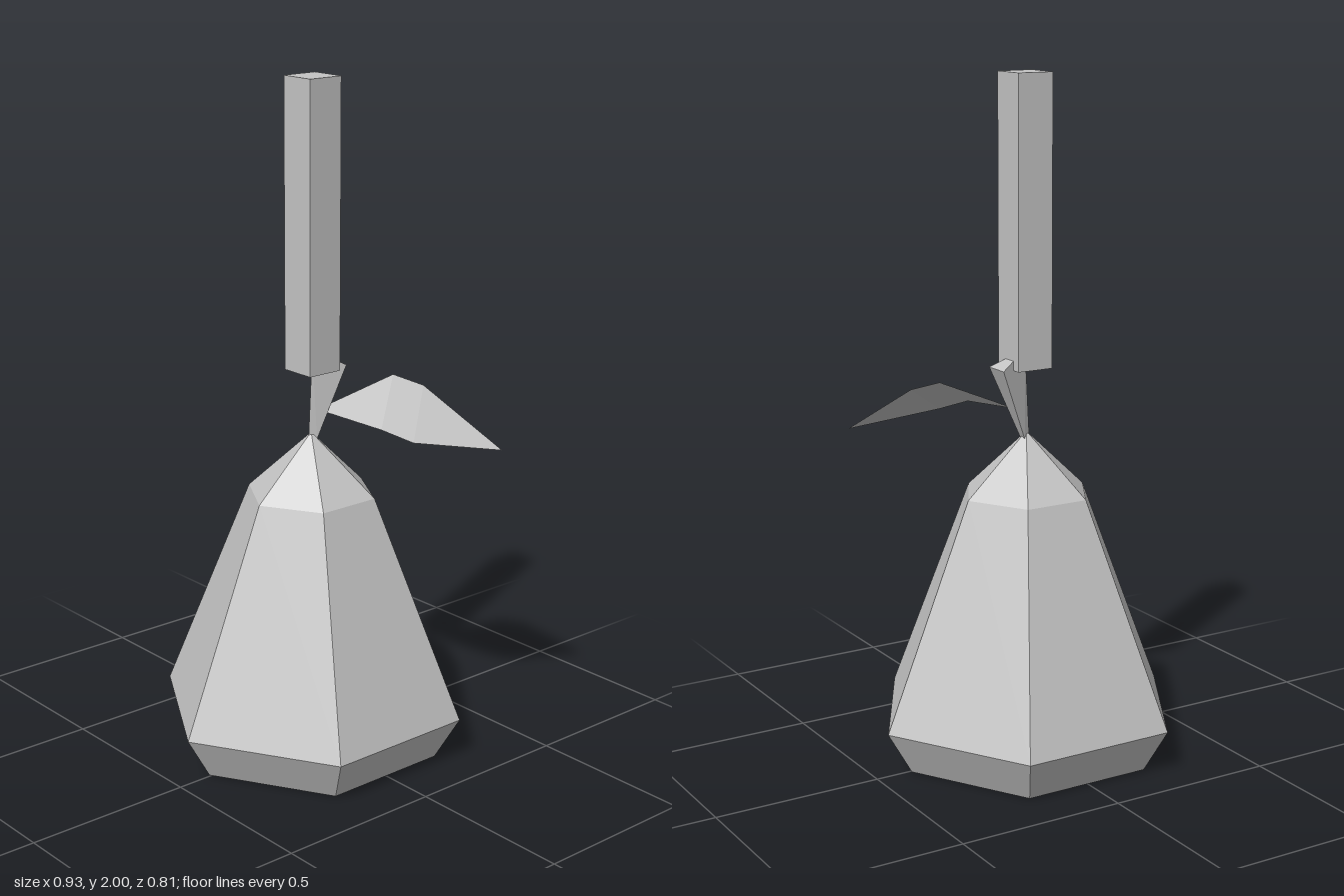
import * as THREE from 'three';
import { ConvexGeometry } from 'three/addons/geometries/ConvexGeometry.js';

// Unshared vertices give every facet its own flat normal
function faceted(geometry) {
  const g = geometry.index ? geometry.toNonIndexed() : geometry;
  g.computeVertexNormals();
  return g;
}

export function createModel() {
  const group = new THREE.Group();
  const grey = new THREE.MeshStandardMaterial({ name: 'grey', color: 0xc4c4c4 });
  const leafGrey = grey.clone();
  leafGrey.side = THREE.DoubleSide;

  function add(name, geometry, material = grey) {
    const mesh = new THREE.Mesh(geometry, material);
    mesh.name = name;
    group.add(mesh);
    return mesh;
  }

  // Six-sided fruit body, with corners on the x axis
  const profile = [[0, 0], [0.39, 0], [0.465, 0.13], [0.195, 0.79], [0.008, 0.965], [0, 0.967]]
    .map(([r, y]) => new THREE.Vector2(r, y));
  add('body', faceted(new THREE.LatheGeometry(profile, 6, Math.PI / 6))).position.z = -0.006;

  // Three-sided stem, flaring and leaning towards +x
  const stemPoints = [
    [-0.01, 0.95, -0.006], [0.012, 0.95, -0.018], [0.012, 0.95, 0.006],
    [0.004, 1.215, -0.006], [0.1, 1.165, -0.047], [0.1, 1.165, 0.034],
  ].map((p) => new THREE.Vector3(...p));
  add('stem', faceted(new ConvexGeometry(stemPoints)));

  // Square stick hanging above the stem
  add('stick', new THREE.BoxGeometry(0.112, 0.84, 0.112)).position.set(0, 1.58, 0);

  // Folded leaf: pairs of edge points from the base, closing at the tip
  const rows = [
    [[0.026, 1.035, 0.035], [0.06, 1.052, 0.012]],
    [[0.06, 1.022, 0.23], [0.232, 1.124, 0.09]],
    [[0.115, 0.99, 0.305], [0.288, 1.096, 0.16]],
    [[0.37, 0.94, 0.405], [0.37, 0.94, 0.405]],
  ];
  const corners = [];
  for (let i = 0; i < rows.length - 1; i++) {
    const [a, b] = rows[i];
    const [c, d] = rows[i + 1];
    corners.push(...a, ...c, ...b);
    if (i < rows.length - 2) corners.push(...c, ...d, ...b);
  }
  const leaf = new THREE.BufferGeometry();
  leaf.setAttribute('position', new THREE.Float32BufferAttribute(corners, 3));
  add('leaf', faceted(leaf), leafGrey);

  return group;
}
